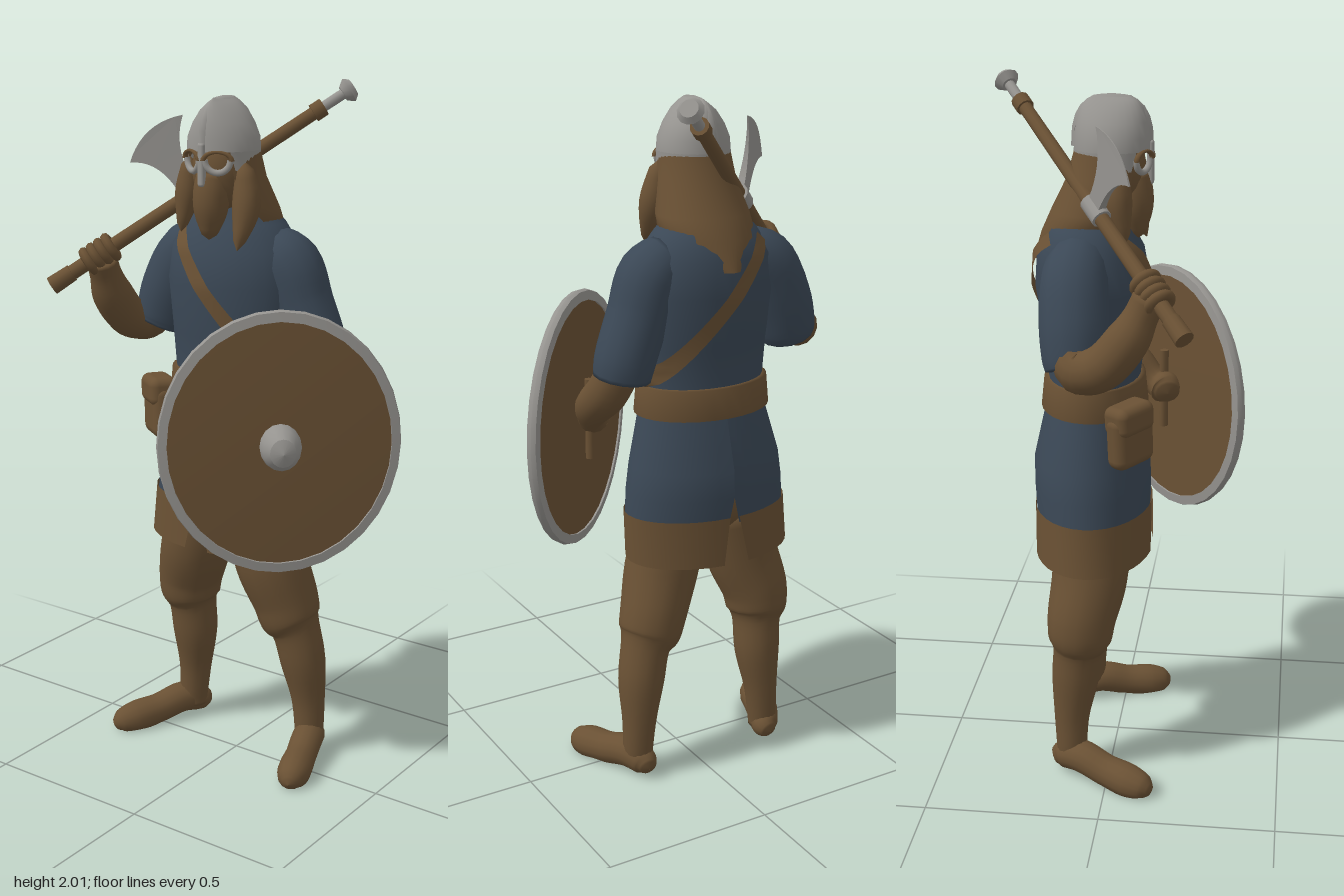
import * as THREE from 'three';
import { mergeVertices, toCreasedNormals } from 'three/addons/utils/BufferGeometryUtils.js';
import { RoundedBoxGeometry } from 'three/addons/geometries/RoundedBoxGeometry.js';

const paint = (name, color) => {
  const m = new THREE.MeshStandardMaterial({ color, side: THREE.DoubleSide });
  m.name = name;
  return m;
};

// Grid of vertices, rows x cols, joined into quads
function grid(rows, closed) {
  const n = rows[0].length, pos = rows.flat(2), idx = [];
  for (let j = 0; j < rows.length - 1; j++)
    for (let i = 0; i < (closed ? n : n - 1); i++) {
      const a = j * n + i, b = j * n + (i + 1) % n;
      idx.push(a, b, a + n, b, b + n, a + n);
    }
  const g = new THREE.BufferGeometry();
  g.setAttribute('position', new THREE.Float32BufferAttribute(pos, 3));
  g.setIndex(idx);
  g.computeVertexNormals();
  return g;
}

// Loft through horizontal ellipses [y, cx, cz, rx, rz, gap]; angle 0 is the front
function loft(rings, from = 0, to = Math.PI * 2, seg = 28) {
  const closed = rings.every(r => !r[5]) && to - from > 6.2;
  return grid(rings.map(([y, cx, cz, rx, rz, gap = 0]) =>
    Array.from({ length: closed ? seg : seg + 1 }, (_, i) => {
      const a = from + gap + (to - from - 2 * gap) * i / seg;
      return [cx + rx * Math.sin(a), y, cz + rz * Math.cos(a)];
    })), closed);
}

// Tube of varying radius through [x, y, z, r], closed at both ends, never below ground
function limb(pts, sides = 14) {
  const path = new THREE.CatmullRomCurve3(pts.map(p => new THREE.Vector3(p[0], p[1], p[2])));
  const radii = new THREE.CatmullRomCurve3(pts.map((p, i) => new THREE.Vector3(p[3], i * 0.1, 0)));
  path.getUtoTmapping = u => u;
  const n = (pts.length - 1) * 5;
  const g = new THREE.TubeGeometry(path, n, 1, sides, false);
  const p = g.attributes.position, v = new THREE.Vector3();
  for (let i = 0; i < p.count; i++) {
    const j = Math.floor(i / (sides + 1)), c = path.getPoint(j / n);
    const r = j === 0 || j === n ? 0.001 : radii.getPoint(j / n).x;
    v.fromBufferAttribute(p, i).sub(c).multiplyScalar(r).add(c);
    p.setXYZ(i, v.x, Math.max(0, v.y), v.z);
  }
  g.deleteAttribute('uv');
  g.deleteAttribute('normal');
  const m = mergeVertices(g, 1e-5);
  m.computeVertexNormals();
  return m;
}

const lathe = (pts, seg = 32) =>
  toCreasedNormals(new THREE.LatheGeometry(pts.map(p => new THREE.Vector2(...p)), seg), 0.6);

export function createModel() {
  const root = new THREE.Group();
  const cloth = paint('blue cloth', 0x3b4856);
  const leather = paint('brown leather', 0x6a5134);
  const steel = paint('grey steel', 0x969490);
  const add = (name, geo, mat, parent = root) => {
    const m = new THREE.Mesh(geo, mat);
    m.name = name;
    parent.add(m);
    return m;
  };

  // Tunic
  const torso = [
    [1.1, -.05, -.06, .195, .14], [1.19, -.05, -.06, .188, .13], [1.3, -.045, -.06, .2, .142],
    [1.45, -.045, -.065, .215, .16], [1.55, -.05, -.07, .2, .148], [1.62, -.05, -.075, .15, .115],
    [1.69, -.05, -.06, .065, .07]];
  add('tunic', loft(torso), cloth);
  const skirt = [[.79, -.06, -.062, .25, .165, .07], [.87, -.057, -.066, .245, .167, 0],
    [.95, -.055, -.068, .233, .165], [1.1, -.05, -.06, .195, .14]];
  const hem = [[.665, -.07, -.06, .258, .17, .16], [.81, -.06, -.062, .254, .169, .06]];
  for (const k of [0, 1]) {
    add('skirtPanel', loft(skirt, k * Math.PI, (k + 1) * Math.PI, 16), cloth);
    add('hemBand', loft(hem, k * Math.PI, (k + 1) * Math.PI, 16), leather);
  }
  add('belt', loft([[1.1, -.05, -.06, .19, .135], [1.102, -.05, -.06, .207, .152],
    [1.188, -.05, -.06, .2, .143], [1.19, -.05, -.06, .185, .128]]), leather);

  // Shoulder strap, hugging the tunic front and back
  const surfaceZ = (x, y, side) => {
    const i = Math.max(1, torso.findIndex(r => r[0] >= y)), a = torso[i - 1], b = torso[i];
    const [, cx, cz, rx, rz] = a.map((q, k) => THREE.MathUtils.lerp(q, b[k], (y - a[0]) / (b[0] - a[0])));
    return cz + side * (rz * Math.sqrt(Math.max(0, 1 - ((x - cx) / rx) ** 2)) + .012);
  };
  for (const side of [1, -1]) {
    const rows = [];
    for (let y = 1.2; y < 1.62; y += .02) {
      const x = (1.39 - y) / 1.2;
      rows.push([-1, 0, 1].map(k => {
        const px = x + k * .017, py = y + k * .014;
        return [px, py, surfaceZ(px, py, side)];
      }));
    }
    add('shoulderStrap', grid(rows, false), leather);
  }

  // Pouch with flap
  const pouch = new THREE.Group();
  pouch.name = 'pouch';
  pouch.position.set(-.235, 1.07, .06);
  pouch.rotation.set(0, -.64, .06);
  root.add(pouch);
  add('pouchBag', new RoundedBoxGeometry(.145, .16, .07, 3, .03), leather, pouch).position.y = -.01;
  add('pouchFlap', new RoundedBoxGeometry(.135, .085, .085, 3, .025), leather, pouch).position.y = .05;

  // Legs and feet
  const legY = [.84, .62, .5, .44, .4, .3, .18, .08, .03];
  const legZ = [-.06, -.06, -.08, -.085, -.09, -.1, -.11, -.11, -.11];
  const legR = [.11, .11, .1, .093, .074, .069, .052, .045, .04];
  const leg = (side, xs, heel, toe) => {
    add(side + 'Leg', limb(legY.map((y, i) => [xs[i], y, legZ[i], legR[i]]), 16), leather);
    const foot = [[.035, -.168, .02], [.045, -.14, .04], [.06, -.08, .048], [.04, 0, .047],
      [.03, .07, .05], [.025, .115, .038], [.02, .14, .012]];
    add(side + 'Foot', limb(foot.map(([y, z, r]) =>
      [THREE.MathUtils.lerp(heel, toe, Math.max(0, (z + .14) / .28)), y, z, r])), leather);
  };
  leg('right', [-.14, -.192, -.23, -.235, -.232, -.23, -.238, -.245, -.245], -.24, -.375);
  leg('left', [.03, .085, .123, .14, .157, .177, .19, .195, .195], .19, .285);
  const pelvis = add('pelvis', new THREE.SphereGeometry(1, 20, 12), leather);
  pelvis.position.set(-.055, .83, -.06);
  pelvis.scale.set(.2, .12, .125);

  // Arms
  add('rightSleeve', limb([[-.13, 1.55, -.08, .07], [-.23, 1.51, -.09, .09], [-.29, 1.4, -.085, .095],
    [-.32, 1.31, -.08, .088], [-.33, 1.28, -.075, .08]]), cloth);
  add('rightForearm', limb([[-.33, 1.34, -.08, .06], [-.375, 1.295, -.06, .062], [-.395, 1.31, 0, .062],
    [-.4, 1.39, .07, .06], [-.395, 1.455, .105, .047], [-.39, 1.51, .13, .046]]), leather);
  add('leftSleeve', limb([[.06, 1.55, -.08, .07], [.125, 1.51, -.08, .09], [.17, 1.4, -.085, .088],
    [.215, 1.28, -.09, .086], [.225, 1.22, -.085, .08]]), cloth);
  add('leftForearm', limb([[.22, 1.27, -.085, .06], [.245, 1.18, -.04, .06], [.25, 1.12, .03, .055],
    [.23, 1.075, .085, .042], [.205, 1.06, .12, .05], [.18, 1.05, .13, .03]]), leather);

  // Head, beard and hair
  const head = add('head', new THREE.SphereGeometry(1, 20, 16), leather);
  head.position.set(-.05, 1.77, -.005);
  head.scale.set(.085, .12, .088);
  add('beard', limb([[-.05, 1.77, .04, .045], [-.05, 1.71, .05, .052], [-.05, 1.65, .055, .046],
    [-.05, 1.58, .062, .016]]), leather);
  add('hair', loft([[1.52, -.05, -.115, .06, .115, 1.9], [1.6, -.05, -.085, .14, .12, 1.3],
    [1.66, -.05, -.06, .135, .118, 1], [1.75, -.05, -.025, .112, .108, .8],
    [1.83, -.05, -.012, .1, .1, .7]]), leather);
  add('rightLock', limb([[-.145, 1.8, .02, .02], [-.155, 1.7, .02, .036], [-.165, 1.59, .04, .01]]), leather);
  add('leftLock', limb([[.04, 1.8, .02, .02], [.055, 1.68, .03, .04], [.055, 1.56, .075, .01]]), leather);

  // Helmet with crest, nose guard and eye guards
  const hc = [-.05, -.01];
  add('helmetBowl', loft([[1.825, ...hc, .103, .105], [1.86, ...hc, .1, .104], [1.9, ...hc, .08, .098],
    [1.935, ...hc, .052, .086], [1.955, ...hc, .024, .07], [1.967, ...hc, .002, .05]]), steel);
  add('helmetSkirt', loft([[1.775, ...hc, .102, .104, .95], [1.826, ...hc, .103, .105, .8]]), steel);
  const crest = [];
  for (let i = 0; i <= 12; i++) {
    const a = Math.PI * i / 12, z = Math.cos(a), y = Math.sin(a);
    crest.push([[-.011, 0], [0, .009], [.011, 0]].map(([x, h]) =>
      [hc[0] + x, 1.83 + (.133 + h) * y ** .75, hc[1] + (.104 + h) * Math.sign(z) * Math.abs(z) ** .75]));
  }
  add('helmetCrest', grid(crest, false), steel);
  add('noseGuard', new RoundedBoxGeometry(.022, .12, .02, 2, .008), steel).position.set(-.05, 1.79, .094);
  for (const s of [-1, 1]) {
    const guard = add('eyeGuard', new THREE.TorusGeometry(.036, .009, 8, 14, Math.PI), steel);
    guard.position.set(-.05 + s * .042, 1.805, .078);
    guard.rotation.set(0, s * .45, Math.PI);
    const brow = add('brow', new THREE.TorusGeometry(.04, .008, 8, 12, Math.PI), leather);
    brow.position.set(-.05 + s * .044, 1.802, .082);
    brow.rotation.y = s * .45;
    brow.scale.y = .6;
  }

  // Axe: local x runs along the haft, local y towards the blade
  const axe = new THREE.Group();
  axe.name = 'axe';
  const along = new THREE.Vector3(.65, .55, -.56).normalize();
  const out = new THREE.Vector3(-.08, .18, .055);
  out.addScaledVector(along, -out.dot(along)).normalize();
  axe.quaternion.setFromRotationMatrix(
    new THREE.Matrix4().makeBasis(along, out, along.clone().cross(out)));
  axe.position.set(-.49, 1.43, .22);
  root.add(axe);
  const rod = (name, r0, r1, x0, x1, mat) => {
    const g = new THREE.CylinderGeometry(r1, r0, x1 - x0, 12).rotateZ(-Math.PI / 2);
    add(name, g, mat, axe).position.x = (x0 + x1) / 2;
  };
  rod('haft', .022, .019, 0, .92, leather);
  rod('haftButt', .027, .025, -.01, .06, leather);
  rod('haftCollar', .026, .026, .89, .925, leather);
  rod('spikeNeck', .015, .015, .92, 1.005, steel);
  rod('endCap', .022, .037, .99, 1.01, steel);
  rod('endCapTop', .037, .025, 1.01, 1.025, steel);
  rod('axeSocket', .028, .028, .435, .505, steel);
  const blade = new THREE.Shape();
  blade.moveTo(.445, 0);
  blade.quadraticCurveTo(.455, .13, .375, .17);
  blade.quadraticCurveTo(.465, .245, .575, .2);
  blade.quadraticCurveTo(.49, .13, .5, 0);
  const bladeGeo = new THREE.ExtrudeGeometry(blade, { depth: .026, bevelEnabled: false, curveSegments: 10 });
  const bp = bladeGeo.attributes.position;
  for (let i = 0; i < bp.count; i++)
    bp.setZ(i, (bp.getZ(i) - .013) * Math.max(.12, 1 - bp.getY(i) / .22));
  bladeGeo.computeVertexNormals();
  add('axeBlade', bladeGeo, steel, axe);
  for (let i = 0; i < 4; i++) {
    const finger = add('finger', new THREE.TorusGeometry(.032, .014, 8, 14), leather, axe);
    finger.rotation.y = Math.PI / 2;
    finger.position.x = .12 + i * .025;
  }

  // Round shield, facing forward and outward
  const shield = new THREE.Group();
  shield.name = 'shield';
  shield.position.set(.245, 1.055, .14);
  shield.rotation.y = .708;
  shield.scale.x = .9;
  root.add(shield);
  const disc = (name, pts, mat, seg) => add(name, lathe(pts, seg).rotateX(Math.PI / 2), mat, shield);
  disc('shieldBoard', [[0, -.014], [.35, -.01], [.35, .008], [0, .026]], leather, 32);
  disc('shieldRim', [[.345, -.016], [.372, -.013], [.376, 0], [.372, .013], [.345, .016], [.345, -.016]], steel, 32);
  disc('shieldBoss', [[.064, .015], [.064, .04], [.058, .065], [.04, .092], [0, .108]], steel, 16);
  add('shieldGrip', new THREE.CylinderGeometry(.014, .014, .24, 10), leather, shield).position.set(0, 0, -.035);
  return root;
}
